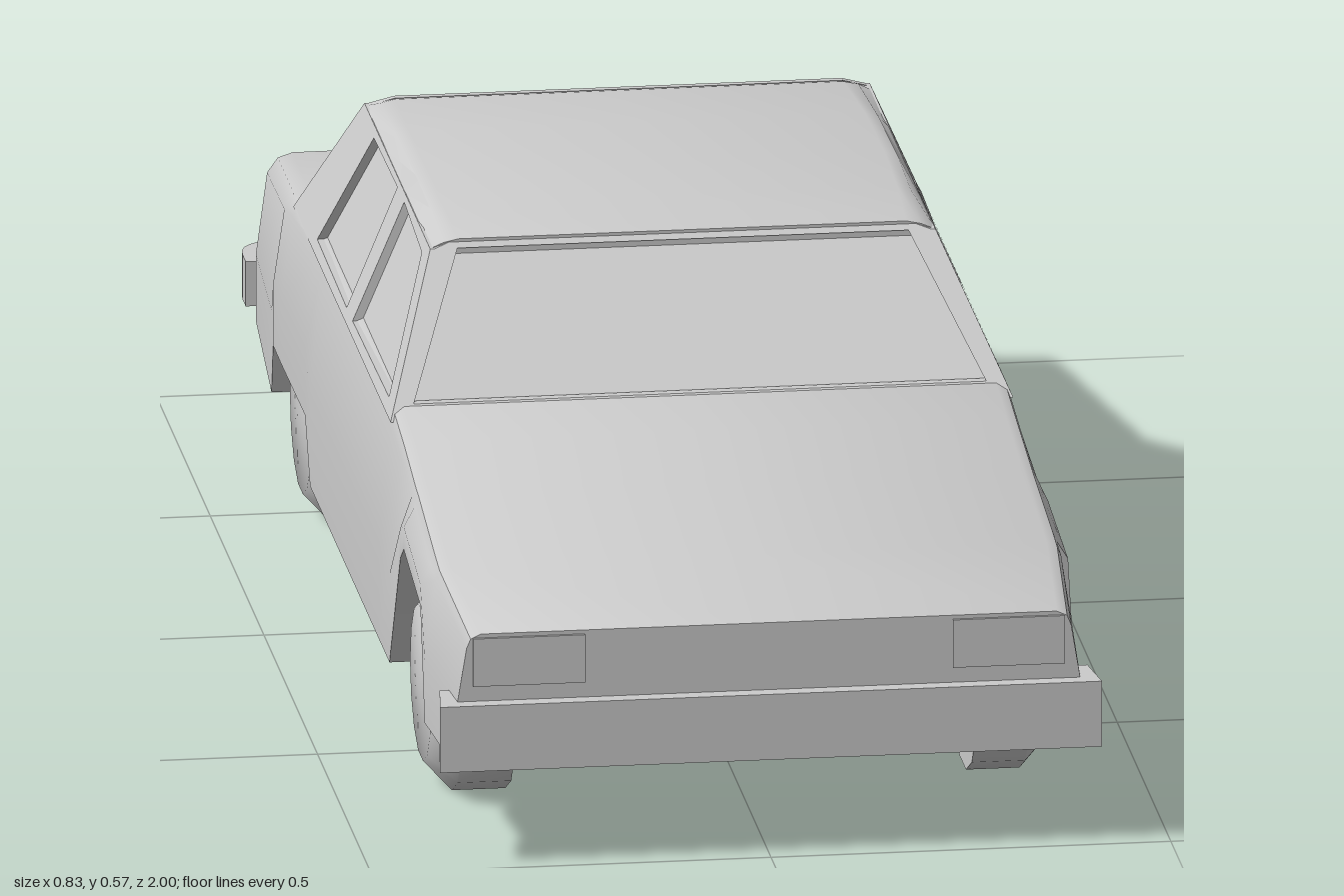
import * as THREE from 'three';
import { toCreasedNormals } from 'three/addons/utils/BufferGeometryUtils.js';
import { RoundedBoxGeometry } from 'three/addons/geometries/RoundedBoxGeometry.js';

const grey = new THREE.MeshStandardMaterial({ color: 0xcccccc });

function add(parent, name, geometry, x = 0, y = 0, z = 0) {
  const mesh = new THREE.Mesh(geometry, grey);
  mesh.name = name;
  mesh.position.set(x, y, z);
  parent.add(mesh);
  return mesh;
}

// Skin over mirrored cross-sections; each section is { z, half: [[x, y], ...] }, front to back
function loft(sections, crease) {
  const pos = [];
  const rings = sections.map(({ z, half }) => {
    const mirrored = half.slice(1, -1).reverse().map(([x, y]) => [-x, y]);
    return [...half, ...mirrored].map(([x, y]) => [x, y, z]);
  });
  const quad = (a, b, c, d) => pos.push(...a, ...b, ...c, ...a, ...c, ...d);
  const n = rings[0].length;
  for (let s = 0; s < rings.length - 1; s++) {
    const f = rings[s], r = rings[s + 1];
    for (let i = 0; i < n; i++) {
      const j = (i + 1) % n;
      quad(f[i], r[i], r[j], f[j]);
    }
  }
  const first = rings[0], last = rings[rings.length - 1];
  for (let k = 0; k < n / 2; k++) {
    const i = (n - k - 1) % n, j = (n - k) % n;
    quad(first[k], first[k + 1], first[i], first[j]);
    quad(last[j], last[i], last[k + 1], last[k]);
  }
  const g = new THREE.BufferGeometry();
  g.setAttribute('position', new THREE.Float32BufferAttribute(pos, 3));
  return toCreasedNormals(g, crease);
}

// Thin sheet with window openings, placed by a rule (u, v, depth) -> [x, y, z]
function panel(outline, holes, place) {
  const vec = (pts) => pts.map(([u, v]) => new THREE.Vector2(u, v));
  const shape = new THREE.Shape(vec(outline));
  holes.forEach((h) => shape.holes.push(new THREE.Path(vec(h))));
  const g = new THREE.ExtrudeGeometry(shape, { depth: 0.013, bevelEnabled: false });
  const p = g.attributes.position;
  for (let i = 0; i < p.count; i++) {
    p.setXYZ(i, ...place(p.getX(i), p.getY(i), p.getZ(i) - 0.013));
  }
  g.computeVertexNormals();
  return g;
}

// Slopes of the cabin walls by height
const sideX = (y) => 0.385 - 0.44 * (y - 0.395);
const frontZ = (y) => 0.34 - 1.0625 * (y - 0.4);
const rearZ = (y) => -0.54 + 0.69 * (y - 0.4);

const bothSides = (half) => [...half, ...half.map(([x, y]) => [-x, y]).reverse()];

export function createModel() {
  const car = new THREE.Group();
  car.name = 'car';

  // Lower body: z, floor, sill or arch height, half width, deck height
  const stations = [
    [0.98, 0.13, 0.13, 0.392, 0.302],
    [0.79, 0.13, 0.13, 0.405, 0.332],
    [0.75, 0.127, 0.27, 0.405, 0.338],
    [0.58, 0.112, 0.29, 0.403, 0.363],
    [0.55, 0.11, 0.27, 0.403, 0.367],
    [0.44, 0.1, 0.1, 0.402, 0.385],
    [0.34, 0.1, 0.1, 0.402, 0.4],
    [-0.3, 0.1, 0.1, 0.402, 0.4],
    [-0.34, 0.1, 0.18, 0.403, 0.4],
    [-0.53, 0.112, 0.187, 0.407, 0.4],
    [-0.6, 0.117, 0.19, 0.408, 0.39],
    [-0.63, 0.12, 0.12, 0.406, 0.386],
    [-0.895, 0.13, 0.13, 0.39, 0.347],
    [-0.915, 0.13, 0.13, 0.386, 0.338],
    [-0.925, 0.13, 0.13, 0.375, 0.318],
  ];
  const bodySections = stations.map(([z, floor, sill, w, top]) => {
    const trunk = THREE.MathUtils.clamp((-z - 0.45) / 0.2, 0, 1) * 0.014;
    return {
      z,
      half: [
        [0, floor], [0.225, floor], [0.225, sill], [w, sill],
        [w, sill + (top - sill) * 0.4],
        [w - 0.014, top - 0.018 - trunk * 0.5],
        [w - 0.019 - trunk * 0.6, top - 0.006],
        [w - 0.032 - trunk, top], [0, top + trunk * 0.1],
      ],
    };
  });
  add(car, 'body', loft(bodySections, 0.65));

  // Cabin core forms the recessed glass
  const glass = new THREE.BoxGeometry(1, 1, 1);
  const gp = glass.attributes.position;
  for (let i = 0; i < gp.count; i++) {
    const y = gp.getY(i) > 0 ? 0.55 : 0.38;
    const z = gp.getZ(i) > 0 ? frontZ(y) - 0.016 : rearZ(y) + 0.01;
    gp.setXYZ(i, Math.sign(gp.getX(i)) * (sideX(y) - 0.012), y, z);
  }
  glass.computeVertexNormals();
  add(car, 'windowGlass', glass);

  // Roof
  const roofSections = [
    [0.172, 0.28, 0.562], [0.06, 0.284, 0.572], [-0.07, 0.286, 0.576],
    [-0.25, 0.285, 0.572], [-0.41, 0.28, 0.563], [-0.43, 0.275, 0.559],
  ].map(([z, w, top]) => ({
    z,
    half: [[0, 0.54], [0.3, 0.54], [sideX(0.55), 0.55], [(w + 0.317) / 2, top - 0.004], [w, top], [0, top]],
  }));
  add(car, 'roof', loft(roofSections, 0.7));

  // Door frames on both sides
  const sideOutline = [
    [frontZ(0.385), 0.385], [frontZ(0.552), 0.552],
    [rearZ(0.552), 0.552], [rearZ(0.385), 0.385],
  ];
  const sideWindows = [
    [[0.295, 0.399], [0.145, 0.538], [-0.042, 0.545], [-0.034, 0.396]],
    [[-0.09, 0.396], [-0.105, 0.545], [-0.318, 0.543], [-0.37, 0.398]],
  ];
  for (const s of [1, -1]) {
    const turn = (pts) => pts.map(([z, y]) => [-s * z, y]);
    add(car, s > 0 ? 'leftWindowFrame' : 'rightWindowFrame',
      panel(turn(sideOutline), sideWindows.map(turn), (u, v, d) => [s * (sideX(v) + d), v, -s * u]));
  }

  // Windscreen and rear window frames
  const endOutline = bothSides([[sideX(0.385), 0.385], [sideX(0.55), 0.55], [0.28, 0.562]]);
  add(car, 'windscreenFrame', panel(endOutline,
    [bothSides([[0.358, 0.402], [0.282, 0.552]])],
    (u, v, d) => [u, v, frontZ(v) + d]));
  add(car, 'rearWindowFrame', panel(endOutline,
    [bothSides([[0.295, 0.408], [0.312, 0.413], [0.32, 0.428], [0.277, 0.522], [0.265, 0.534], [0.245, 0.538]])],
    (u, v, d) => [-u, v, rearZ(v) - d * 0.75]));

  // Front bumper, tapering inward towards the body
  const frontBumper = [[1, 0.414], [0.93, 0.405]].map(([z, w]) => ({
    z, half: [[0, 0.13], [w, 0.13], [w, 0.215], [0, 0.215]],
  }));
  add(car, 'frontBumper', loft(frontBumper, 0.3));

  // Rear bumper with rounded corners
  const plan = new THREE.Shape();
  plan.moveTo(-0.4, 0.915);
  plan.lineTo(0.4, 0.915);
  plan.lineTo(0.4, 0.945);
  plan.quadraticCurveTo(0.4, 1, 0.345, 1);
  plan.lineTo(-0.345, 1);
  plan.quadraticCurveTo(-0.4, 1, -0.4, 0.945);
  const rearBumper = new THREE.ExtrudeGeometry(plan, { depth: 0.058, bevelEnabled: false, curveSegments: 6 });
  rearBumper.rotateX(-Math.PI / 2);
  add(car, 'rearBumper', toCreasedNormals(rearBumper, 0.6), 0, 0.143, 0);

  // Wheels: flat inside, domed outside
  const profile = [[0, 0.288], [0.136, 0.288], [0.136, 0.355], [0.098, 0.39], [0, 0.394]]
    .map(([r, h]) => new THREE.Vector2(r, h));
  const wheel = toCreasedNormals(new THREE.LatheGeometry(profile, 14), 0.9);

  for (const s of [1, -1]) {
    const side = s > 0 ? 'Left' : 'Right';
    add(car, 'headlight' + side, new THREE.BoxGeometry(0.14, 0.062, 0.02), s * 0.3, 0.266, 0.974);
    for (const [name, z] of [['frontWheel', 0.64], ['rearWheel', -0.48]]) {
      add(car, name + side, wheel, 0, 0.136, z).rotation.z = -s * Math.PI / 2;
    }
    // Stacked tail light bars
    for (const y of [0.25, 0.288]) {
      add(car, 'tailLight' + side, new RoundedBoxGeometry(0.185, 0.033, 0.022, 2, 0.01), s * 0.212, y, -0.962);
    }
  }
  return car;
}
